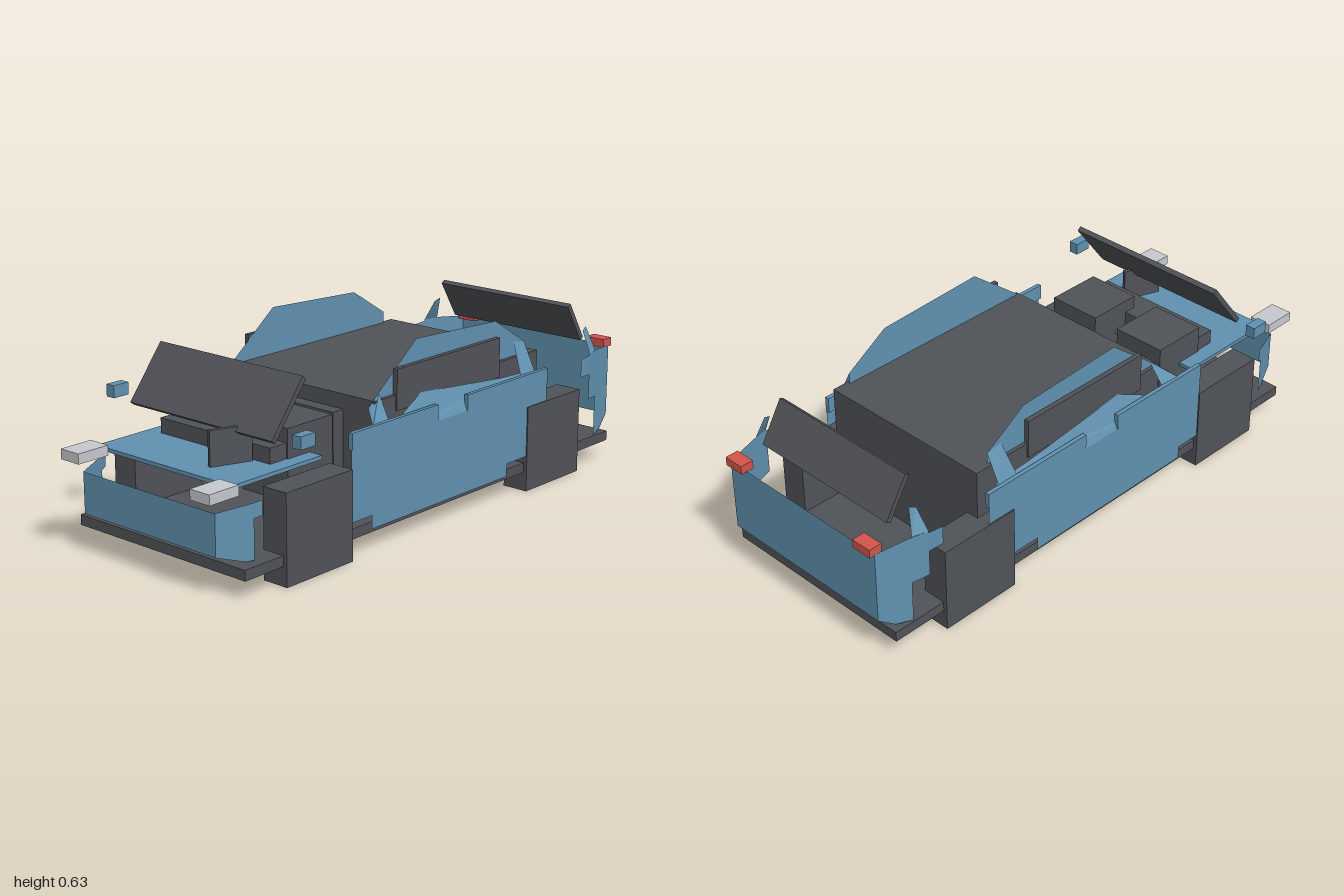
import * as THREE from 'three';

function mat(name, color) {
  const m = new THREE.MeshStandardMaterial({ color, side: THREE.DoubleSide });
  m.name = name;
  return m;
}

export function createModel() {
  const car = new THREE.Group();
  car.name = 'car';
  const blue = mat('blue paint', 0x6191b0);
  const dark = mat('dark grey', 0x505358);
  const lamp = mat('light grey', 0xc6c9ce);
  const red = mat('red', 0xd2554c);

  const add = (name, geo, m) => {
    const mesh = new THREE.Mesh(geo, m);
    mesh.name = name;
    car.add(mesh);
    return mesh;
  };

  // Box from its min and max on each axis
  const box = (name, m, x0, x1, y0, y1, z0, z1) => {
    const geo = new THREE.BoxGeometry(x1 - x0, y1 - y0, z1 - z0);
    return add(name, geo.translate((x0 + x1) / 2, (y0 + y1) / 2, (z0 + z1) / 2), m);
  };
  const pair = (name, m, x0, x1, ...rest) => {
    box(name + 'Left', m, x0, x1, ...rest);
    box(name + 'Right', m, -x1, -x0, ...rest);
  };

  // Thin sheet metal: convex polygons of [x, y, z] corners, mirrored to both sides
  const sheets = (name, polys) => {
    for (const s of [1, -1]) {
      const pos = [];
      for (const p of polys) {
        for (let i = 1; i < p.length - 1; i++) {
          const tri = s > 0 ? [p[0], p[i], p[i + 1]] : [p[0], p[i + 1], p[i]];
          for (const [x, y, z] of tri) pos.push(s * x, y, z);
        }
      }
      const geo = new THREE.BufferGeometry();
      geo.setAttribute('position', new THREE.Float32BufferAttribute(pos, 3));
      geo.computeVertexNormals();
      add(name + (s > 0 ? 'Left' : 'Right'), geo, blue);
    }
  };
  // Points [z, y] on an upright plane at x
  const atX = (x, pts) => pts.map(([z, y]) => [x, y, z]);

  // Chassis and wheel blocks
  box('chassis', dark, -0.365, 0.365, 0.065, 0.1, -0.943, 0.9);
  box('underbody', dark, -0.23, 0.23, 0.025, 0.065, -0.42, 0.41);
  pair('frontWheel', dark, 0.283, 0.379, 0, 0.3, 0.443, 0.738);
  pair('rearWheel', dark, 0.283, 0.379, 0, 0.3, -0.745, -0.447);

  // Cabin block, dashboard, and side windows
  box('cabin', dark, -0.328, 0.328, 0.1, 0.47, -0.558, 0.283);
  box('dashboard', dark, -0.195, 0.195, 0.2, 0.42, 0.28, 0.33);
  pair('sideWindow', dark, 0.318, 0.335, 0.42, 0.556, -0.34, 0.185);

  // Engine bay blocks under the windscreen
  pair('engineBlock', dark, 0.05, 0.245, 0.2, 0.437, 0.388, 0.59);
  box('engineFront', dark, -0.24, 0.24, 0.315, 0.391, 0.545, 0.662);

  // Hood and lamps
  box('hood', blue, -0.297, 0.297, 0.327, 0.34, 0.493, 0.88);
  pair('headlight', lamp, 0.245, 0.326, 0.316, 0.35, 0.88, 1);
  pair('tailLight', red, 0.257, 0.331, 0.4, 0.43, -1, -0.953);
  pair('mirror', blue, 0.39, 0.425, 0.438, 0.479, 0.66, 0.722);

  // Tilted windscreen and rear window, given by lower and upper ends
  const tilted = (name, halfWidth, [z0, y0], [z1, y1]) => {
    const pane = add(name, new THREE.BoxGeometry(halfWidth * 2, Math.hypot(z1 - z0, y1 - y0), 0.018), dark);
    pane.position.set(0, (y0 + y1) / 2, (z0 + z1) / 2);
    pane.rotation.x = Math.atan2(z1 - z0, y1 - y0);
  };
  tilted('windscreen', 0.31, [0.718, 0.436], [0.582, 0.609]);
  tilted('rearWindow', 0.285, [-0.882, 0.44], [-0.8, 0.575]);

  // Upright plate on the hood, turned a little
  const plate = add('hoodPlate', new THREE.BoxGeometry(0.015, 0.14, 0.14), dark);
  plate.position.set(0.145, 0.385, 0.735);
  plate.rotation.y = -0.36;

  // Front bumper: half panel, angled corner, and small wing
  sheets('frontBumper', [
    [[0, 0.132, 0.945], [0.29, 0.132, 0.945], [0.29, 0.27, 0.945], [0, 0.27, 0.945]],
    [[0.29, 0.132, 0.945], [0.326, 0.103, 0.855], [0.336, 0.105, 0.83], [0.336, 0.284, 0.83], [0.29, 0.27, 0.945]],
    [[0.336, 0.235, 0.83], [0.347, 0.241, 0.805], [0.347, 0.29, 0.805], [0.336, 0.284, 0.83]],
  ]);

  // Rear bumper: half panel and side return
  sheets('rearBumper', [
    [[0, 0.15, -0.982], [0, 0.405, -0.982], [0.332, 0.405, -0.982], [0.332, 0.15, -0.982]],
    [[0.332, 0.15, -0.982], [0.332, 0.405, -0.982], [0.36, 0.416, -0.865], [0.36, 0.1, -0.865], [0.345, 0.11, -0.925]],
  ]);

  // Rear corner panels between bumper and wheel
  sheets('rearQuarter', [
    [[0.36, 0.245, -0.865], [0.36, 0.415, -0.865], [0.375, 0.415, -0.805], [0.375, 0.25, -0.805]],
    [[0.36, 0.415, -0.86], [0.33, 0.5, -0.84], [0.335, 0.49, -0.815], [0.375, 0.415, -0.805]],
    [[0.375, 0.34, -0.805], [0.375, 0.41, -0.805], [0.378, 0.405, -0.75], [0.378, 0.34, -0.75]],
  ]);

  // Door skin: flat lower side with a shoulder leaning inward
  sheets('door', [
    atX(0.375, [[0.445, 0.125], [0.35, 0.125], [0.35, 0.36], [0.445, 0.36]]),
    atX(0.375, [[0.35, 0.08], [-0.34, 0.08], [-0.34, 0.36], [0.35, 0.36]]),
    atX(0.375, [[-0.34, 0.125], [-0.447, 0.125], [-0.447, 0.36], [-0.34, 0.36]]),
    atX(0.375, [[-0.447, 0.3], [-0.555, 0.3], [-0.555, 0.36], [-0.447, 0.36]]),
    [[0.375, 0.36, 0.24], [0.375, 0.36, -0.5], [0.35, 0.415, -0.5], [0.345, 0.42, -0.34],
      [0.336, 0.457, 0.07], [0.35, 0.415, 0.17]],
  ]);
  pair('frontShoulder', blue, 0.362, 0.377, 0.36, 0.415, 0.03, 0.443);
  pair('rearShoulder', blue, 0.362, 0.377, 0.36, 0.415, -0.555, -0.12);

  // Arched roof sides with pillars flaring down to the doors
  sheets('roofSide', [
    atX(0.315, [[0.29, 0.46], [0.07, 0.63], [-0.34, 0.61], [-0.5, 0.51], [-0.5, 0.46]]),
    [[0.315, 0.49, 0.25], [0.315, 0.45, 0.3], [0.37, 0.41, 0.34], [0.372, 0.4, 0.26]],
    [[0.315, 0.52, -0.44], [0.315, 0.51, -0.5], [0.365, 0.41, -0.5], [0.365, 0.41, -0.42]],
  ]);

  return car;
}
